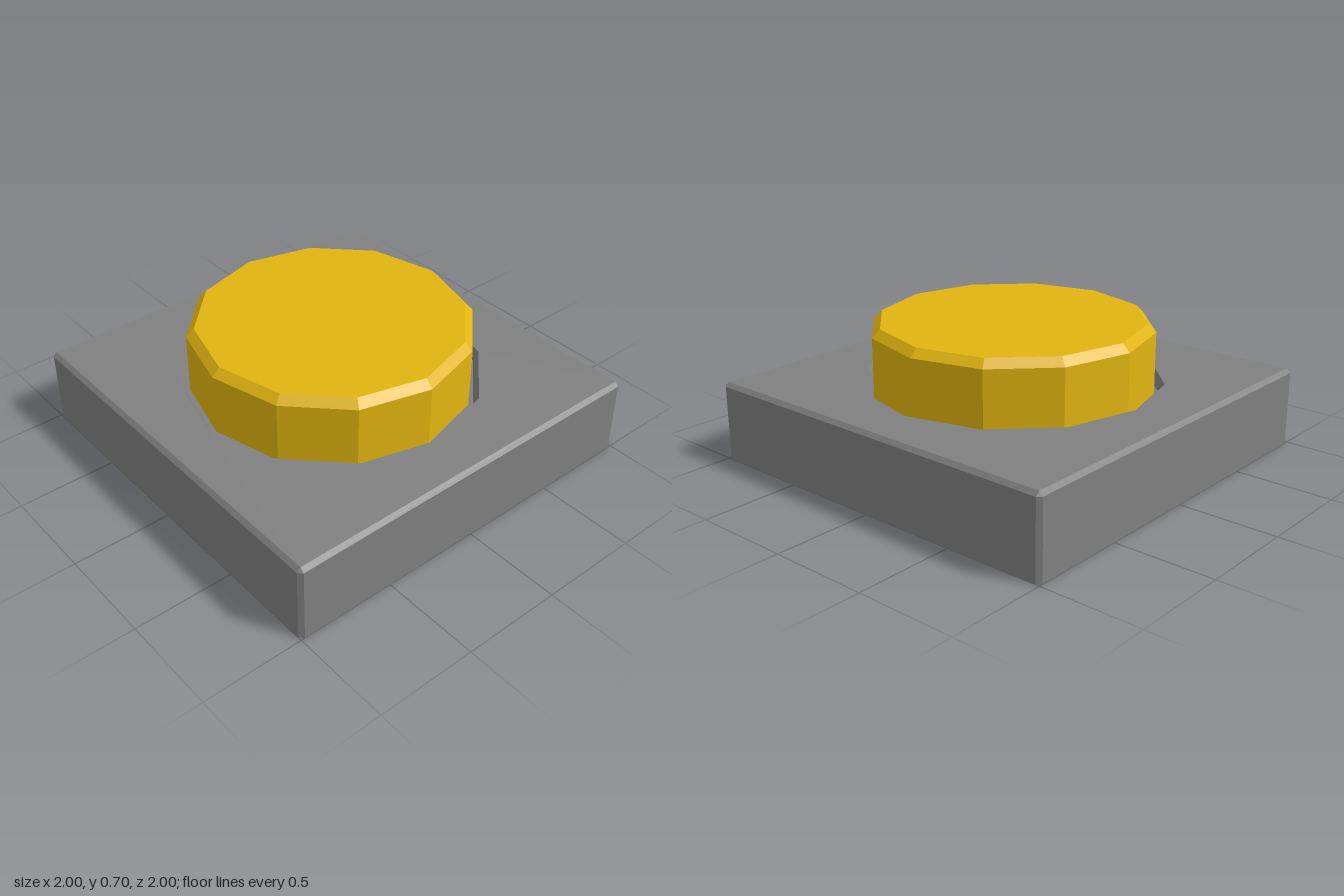
import * as THREE from 'three';

const grey = new THREE.MeshStandardMaterial({ color: 0x808080 });
const gold = new THREE.MeshStandardMaterial({ color: 0xe1b410 });
grey.name = 'grey casing';
gold.name = 'gold button';

const TOP = 0.4, BEVEL = 0.02, SIDES = 12, RIM = 0.75, FLOOR = 0.35;

function addMesh(parent, name, geometry, material) {
  const flat = geometry.index ? geometry.toNonIndexed() : geometry;
  flat.computeVertexNormals();
  const mesh = new THREE.Mesh(flat, material);
  mesh.name = name;
  parent.add(mesh);
  return mesh;
}

// Faceted turned part from [radius, height] pairs
function turned(profile) {
  return new THREE.LatheGeometry(profile.map(([r, y]) => new THREE.Vector2(r, y)), SIDES);
}

// Square ring with cut corners, counter-clockwise seen from above
function cutSquare(half, cut, y) {
  const a = half, b = half - cut;
  return [[a, b], [a, -b], [b, -a], [-b, -a], [-a, -b], [-a, b], [-b, a], [b, a]]
    .map(([x, z]) => [x, y, z]);
}

// Side walls and top bevel lofted through the rings, closed underneath
function casingShell() {
  const rings = [cutSquare(1, BEVEL, 0), cutSquare(1, BEVEL, TOP - BEVEL), cutSquare(1 - BEVEL, 0, TOP)];
  const pos = [];
  for (let i = 0; i < 8; i++) {
    const j = (i + 1) % 8;
    for (let k = 0; k < 2; k++) {
      const a = rings[k][i], b = rings[k][j], c = rings[k + 1][j], d = rings[k + 1][i];
      pos.push(...a, ...b, ...c);
      if (k === 0 || i % 2 === 0) pos.push(...a, ...c, ...d);
    }
    pos.push(0, 0, 0, ...rings[0][j], ...rings[0][i]);
  }
  const g = new THREE.BufferGeometry();
  g.setAttribute('position', new THREE.Float32BufferAttribute(pos, 3));
  return g;
}

// Flat top plate with a twelve-sided opening
function topPlate() {
  const h = 1 - BEVEL;
  const shape = new THREE.Shape([[-h, -h], [h, -h], [h, h], [-h, h]].map(([x, y]) => new THREE.Vector2(x, y)));
  const hole = [];
  for (let i = 0; i < SIDES; i++) {
    const t = -i / SIDES * Math.PI * 2;
    hole.push(new THREE.Vector2(RIM * Math.cos(t), RIM * Math.sin(t)));
  }
  shape.holes.push(new THREE.Path(hole));
  return new THREE.ShapeGeometry(shape).rotateX(-Math.PI / 2).translate(0, TOP, 0);
}

export function createModel() {
  const model = new THREE.Group();
  model.name = 'pushButton';

  const base = new THREE.Group();
  base.name = 'base';
  addMesh(base, 'casing', casingShell(), grey);
  addMesh(base, 'topPlate', topPlate(), grey);
  // Sloping wall and floor of the recess around the button
  addMesh(base, 'recess', turned([[RIM, TOP], [0.725, FLOOR], [0, FLOOR]]), grey);
  model.add(base);

  // Button with a bevelled upper edge
  addMesh(model, 'buttonCap', turned([[0.7, FLOOR], [0.7, 0.66], [0.66, 0.7], [0, 0.7]]), gold);
  return model;
}
